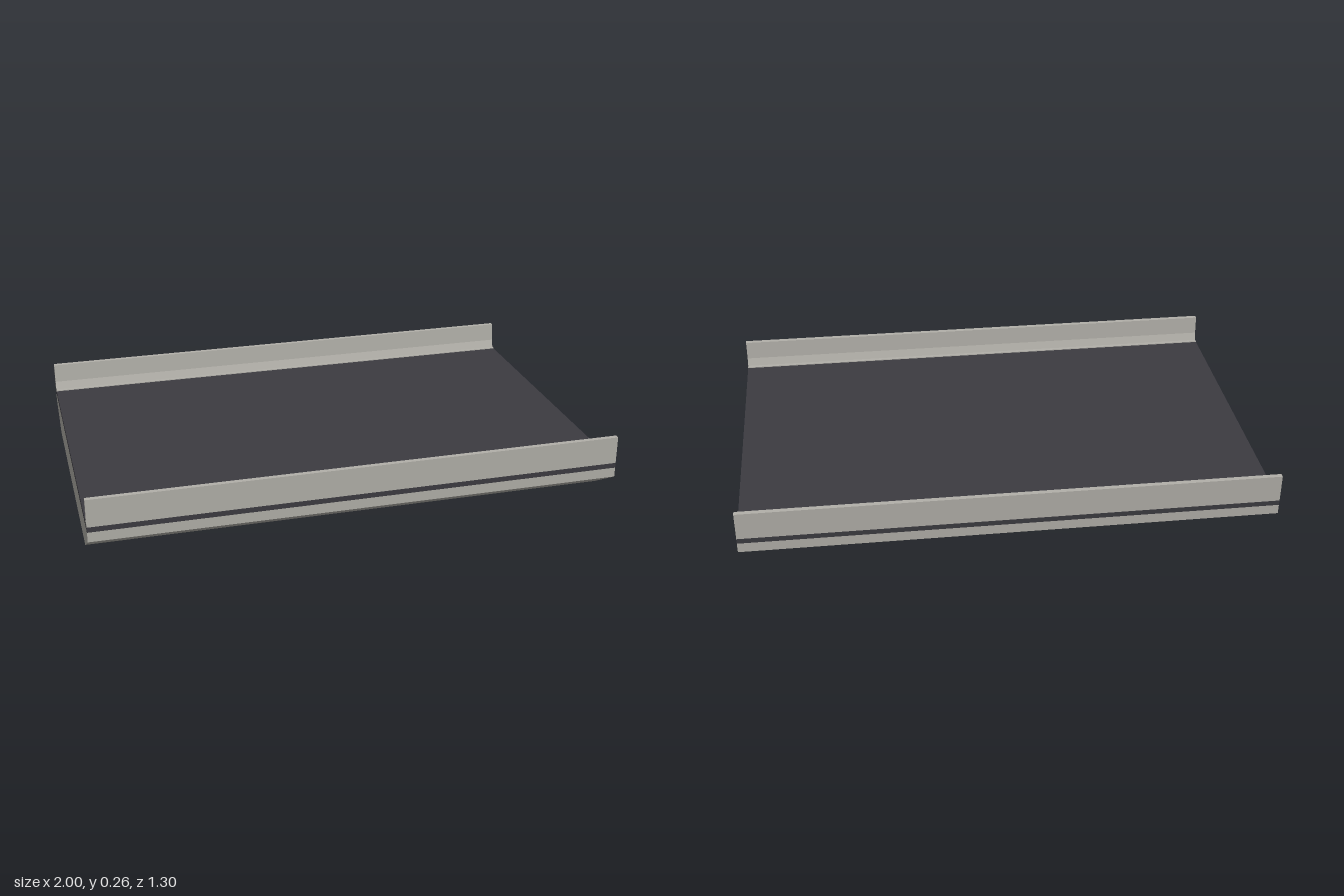
import * as THREE from 'three';

const LENGTH = 2;

export function createModel() {
  const group = new THREE.Group();
  group.name = 'bridgeDeckSection';

  const concrete = new THREE.MeshStandardMaterial({ color: 0xb2b0a9 });
  concrete.name = 'concrete';
  const asphalt = new THREE.MeshStandardMaterial({ color: 0x3c3b41 });
  asphalt.name = 'asphalt';

  // Sweep a (z, y) cross-section along x
  function sweep(name, points, material) {
    const shape = new THREE.Shape(points.map(([z, y]) => new THREE.Vector2(-z, y)));
    const geometry = new THREE.ExtrudeGeometry(shape, { depth: LENGTH, bevelEnabled: false });
    geometry.translate(0, 0, -LENGTH / 2);
    geometry.rotateY(Math.PI / 2);
    const mesh = new THREE.Mesh(geometry, material);
    mesh.name = name;
    group.add(mesh);
  }

  // Girder with chamfered lower edges
  sweep('girder', [
    [-0.65, 0.13], [-0.65, 0.092], [-0.5, 0], [0.5, 0], [0.65, 0.092], [0.65, 0.13],
  ], concrete);

  // Road slab
  sweep('roadSlab', [[-0.65, 0.13], [0.65, 0.13], [0.65, 0.15], [-0.65, 0.15]], asphalt);

  // Barrier on each edge, with a sloped foot and a thin kerb strip
  for (const [side, s] of [['front', 1], ['back', -1]]) {
    sweep(side + 'Barrier', [
      [0.65, 0.15], [0.65, 0.257], [0.632, 0.257], [0.626, 0.184], [0.615, 0.153],
      [0.6, 0.153], [0.6, 0.15],
    ].map(([z, y]) => [z * s, y]), concrete);
  }

  return group;
}
